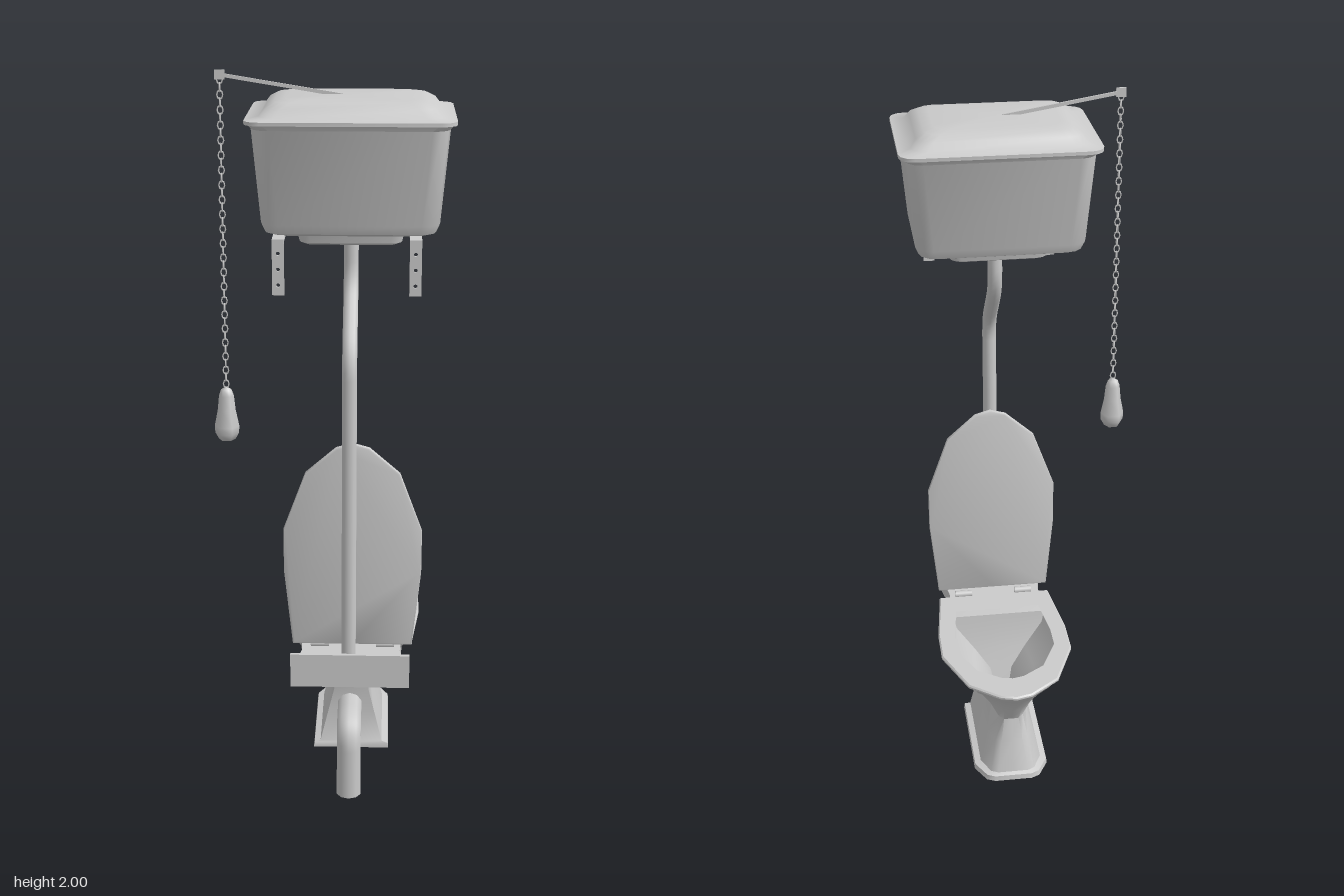
import * as THREE from 'three';
import { toCreasedNormals, mergeGeometries } from 'three/addons/utils/BufferGeometryUtils.js';

const mat = new THREE.MeshStandardMaterial({ color: 0xcccccc });
const matDouble = new THREE.MeshStandardMaterial({ color: 0xcccccc, side: THREE.DoubleSide });
const CX = 0.05; // centre line of the fixture

export function createModel() {
  const model = new THREE.Group();

  function add(name, geo, x = 0, y = 0, z = 0, material = mat) {
    const m = new THREE.Mesh(geo, material);
    m.name = name;
    m.position.set(x, y, z);
    model.add(m);
    return m;
  }

  // Skin a stack of closed rings, capped at both ends
  function loft(rings, crease = 0.7) {
    const n = rings[0].length, pos = [], idx = [];
    rings.forEach(r => r.forEach(p => pos.push(...p)));
    for (let i = 0; i < rings.length - 1; i++)
      for (let j = 0; j < n; j++) {
        const a = i * n + j, b = i * n + (j + 1) % n;
        idx.push(a, a + n, b, b, a + n, b + n);
      }
    for (const [i, flip] of [[0, false], [rings.length - 1, true]]) {
      const c = pos.length / 3;
      pos.push(...[0, 1, 2].map(k => rings[i].reduce((s, p) => s + p[k], 0) / n));
      for (let j = 0; j < n; j++) {
        const a = i * n + j, b = i * n + (j + 1) % n;
        idx.push(c, flip ? b : a, flip ? a : b);
      }
    }
    const g = new THREE.BufferGeometry();
    g.setAttribute('position', new THREE.Float32BufferAttribute(pos, 3));
    g.setIndex(idx);
    return toCreasedNormals(g, crease);
  }

  // Rounded rectangle ring
  function rectRing(y, hx, hz, r) {
    const ring = [];
    for (let q = 0; q < 4; q++)
      for (let s = 0; s <= 3; s++) {
        const a = (q + s / 3) * Math.PI / 2;
        const sx = q === 0 || q === 3 ? 1 : -1, sz = q < 2 ? 1 : -1;
        ring.push([sx * (hx - r) + r * Math.cos(a), y, sz * (hz - r) + r * Math.sin(a)]);
      }
    return ring;
  }

  // Half outlines from front to back: [share of half width, share of length]
  const egg = [[0, 0], [0.23, 0.02], [0.67, 0.14], [1, 0.42], [1, 0.63], [0.88, 1], [0, 1]];
  const block = [[0, 0], [0.5, 0], [0.72, 0.03], [1, 0.18], [1, 0.6], [1, 1], [0, 1]];
  function outline(w, zf, zb, mix = 0) {
    const half = egg.map(([u, t], i) => [
      w * THREE.MathUtils.lerp(u, block[i][0], mix),
      zf + (zb - zf) * THREE.MathUtils.lerp(t, block[i][1], mix)]);
    return [...half, ...half.slice(1, -1).reverse().map(([x, z]) => [-x, z])];
  }
  const toShape = pts => new THREE.Shape(pts.map(p => new THREE.Vector2(...p)));

  // Pipe with straight runs and rounded bends
  function pipe(points, radius, bend) {
    const v = points.map(p => new THREE.Vector3(...p)), path = new THREE.CurvePath();
    let from = v[0];
    for (let i = 1; i < v.length - 1; i++) {
      const a = v[i].clone().add(v[i - 1].clone().sub(v[i]).setLength(bend));
      const b = v[i].clone().add(v[i + 1].clone().sub(v[i]).setLength(bend));
      path.add(new THREE.LineCurve3(from, a));
      path.add(new THREE.QuadraticBezierCurve3(a, v[i], b));
      from = b;
    }
    path.add(new THREE.LineCurve3(from, v[v.length - 1]));
    return new THREE.TubeGeometry(path, 64, radius, 10);
  }

  // Cistern, its stepped lid and the outlet boss below
  const TZ = 0.145;
  add('cistern', loft([
    [1.61, 0.195, 0.145, 0.04], [1.617, 0.214, 0.162, 0.045], [1.64, 0.223, 0.171, 0.045],
    [1.875, 0.244, 0.186, 0.045], [1.892, 0.258, 0.199, 0.04],
  ].map(r => rectRing(...r))), CX, 0, TZ);
  add('cisternLid', loft([
    [1.888, 0.26, 0.2, 0.04], [1.897, 0.26, 0.2, 0.04], [1.903, 0.226, 0.168, 0.04],
    [1.922, 0.212, 0.154, 0.04], [1.935, 0.19, 0.132, 0.04], [1.94, 0.165, 0.108, 0.04],
  ].map(r => rectRing(...r)), 0.9), CX, 0, TZ);
  add('outletBoss', loft([
    [1.575, 0.115, 0.085, 0.02], [1.582, 0.13, 0.1, 0.03], [1.615, 0.137, 0.107, 0.03],
  ].map(r => rectRing(...r))), CX, 0, TZ);

  // Flush pipe and waste pipe
  add('flushPipe', pipe([[CX, 1.59, 0.15], [CX, 1.46, 0.15], [CX, 1.30, 0.305], [CX, 0.42, 0.305]],
    0.02, 0.06), 0, 0, 0, matDouble);
  add('wastePipe', pipe([[CX, 0.21, 0.08], [CX, 0.21, 0.245], [CX, 0, 0.245]], 0.035, 0.065),
    0, 0, 0, matDouble);

  // Wall brackets with screw holes
  for (const x of [-0.127, 0.213]) {
    const plate = toShape([[-0.015, -0.14], [0.015, -0.14], [0.015, 0], [-0.015, 0]]);
    for (const y of [-0.115, -0.075, -0.035])
      plate.holes.push(new THREE.Path().absarc(0, y, 0.005, 0, Math.PI * 2, true));
    add('bracketPlate', new THREE.ExtrudeGeometry(plate,
      { depth: 0.006, bevelEnabled: false, curveSegments: 6 }), x, 1.612, 0.34);
    add('bracketArm', new THREE.BoxGeometry(0.03, 0.007, 0.18), x, 1.609, 0.256);
  }

  // Flush lever, chain and pull handle
  const PX = -0.282;
  const lever = add('lever', new THREE.BoxGeometry(0.315, 0.009, 0.006), -0.128, 1.962, 0.145);
  lever.rotation.z = -0.16;
  add('leverEnd', new THREE.BoxGeometry(0.026, 0.024, 0.006), PX, 1.987, 0.145);
  const links = [];
  for (let i = 0; i < 43; i++) {
    const link = new THREE.TorusGeometry(0.0075, 0.0018, 4, 8).scale(1, 1.45, 1);
    if (i % 2) link.rotateY(Math.PI / 2);
    links.push(link.translate(0, 1.975 - i * 0.019, 0));
  }
  add('chain', mergeGeometries(links), PX, 0, 0.145);
  const knob = [[0, 1.02], [0.022, 1.022], [0.032, 1.04], [0.033, 1.06], [0.024, 1.105],
    [0.02, 1.145], [0.014, 1.162], [0, 1.17]].map(p => new THREE.Vector2(...p));
  add('pullHandle', new THREE.LatheGeometry(knob, 6), PX, 0, 0.145).rotation.y = Math.PI / 2;

  // Pedestal and bowl: up the outside, over the rim, down the inside
  const BX = 0.054;
  add('bowl', loft([
    [0.075, 0.107, -0.237, 0.125, 1], [0.09, 0.105, -0.235, 0.125, 1],
    [0.095, 0.088, -0.224, 0.121, 1], [0.19, 0.066, -0.204, 0.117, 0.9],
    [0.26, 0.05, -0.19, 0.115, 0.7], [0.31, 0.078, -0.22, 0.125, 0.35],
    [0.385, 0.138, -0.28, 0.14, 0], [0.4, 0.152, -0.305, 0.15, 0],
    [0.433, 0.168, -0.332, 0.17, 0], [0.436, 0.155, -0.262, 0.09, 0],
    [0.4, 0.145, -0.252, 0.085, 0], [0.33, 0.085, -0.2, 0.07, 0],
    [0.27, 0.036, -0.13, 0.05, 0], [0.2, 0.02, -0.07, 0.03, 0],
  ].map(([y, w, zf, zb, mix]) => outline(w, zf, zb, mix).map(([x, z]) => [x, y, z]))), BX);

  // Rear shelf with an upright lip
  const shelf = toShape([[-0.142, -0.1], [-0.135, -0.22], [-0.157, -0.345],
    [0.157, -0.345], [0.135, -0.22], [0.142, -0.1]]);
  add('rearShelf', new THREE.ExtrudeGeometry(shelf, { depth: 0.046, bevelEnabled: false })
    .rotateX(-Math.PI / 2), BX, 0.387, 0);
  add('rearLip', new THREE.BoxGeometry(0.32, 0.095, 0.01), BX, 0.433, 0.34);

  // Seat ring
  const flat = pts => pts.map(([x, z]) => [x, -z]);
  const SX = 0.058;
  const seat = toShape(flat(outline(0.183, -0.341, 0.178)));
  seat.holes.push(toShape(flat(outline(0.14, -0.254, 0.1))));
  add('seat', toCreasedNormals(new THREE.ExtrudeGeometry(seat, {
    depth: 0.005, bevelThickness: 0.004, bevelSize: 0.004, bevelSegments: 1,
  }).rotateX(-Math.PI / 2), 0.6), SX, 0.441, 0);

  // Raised seat cover, leaning slightly back
  const cover = toShape(outline(0.18, -0.59, -0.01).map(([x, t]) => [x, -t]));
  add('seatCover', toCreasedNormals(new THREE.ExtrudeGeometry(cover, {
    depth: 0.004, bevelThickness: 0.006, bevelSize: 0.006, bevelSegments: 2,
  }), 0.7), SX, 0.45, 0.216).rotation.x = 0.03;

  // Hinges
  for (const s of [-1, 1])
    add('hinge', new THREE.CylinderGeometry(0.01, 0.01, 0.05, 8).rotateZ(Math.PI / 2),
      SX + s * 0.09, 0.445, 0.2);

  return model;
}
